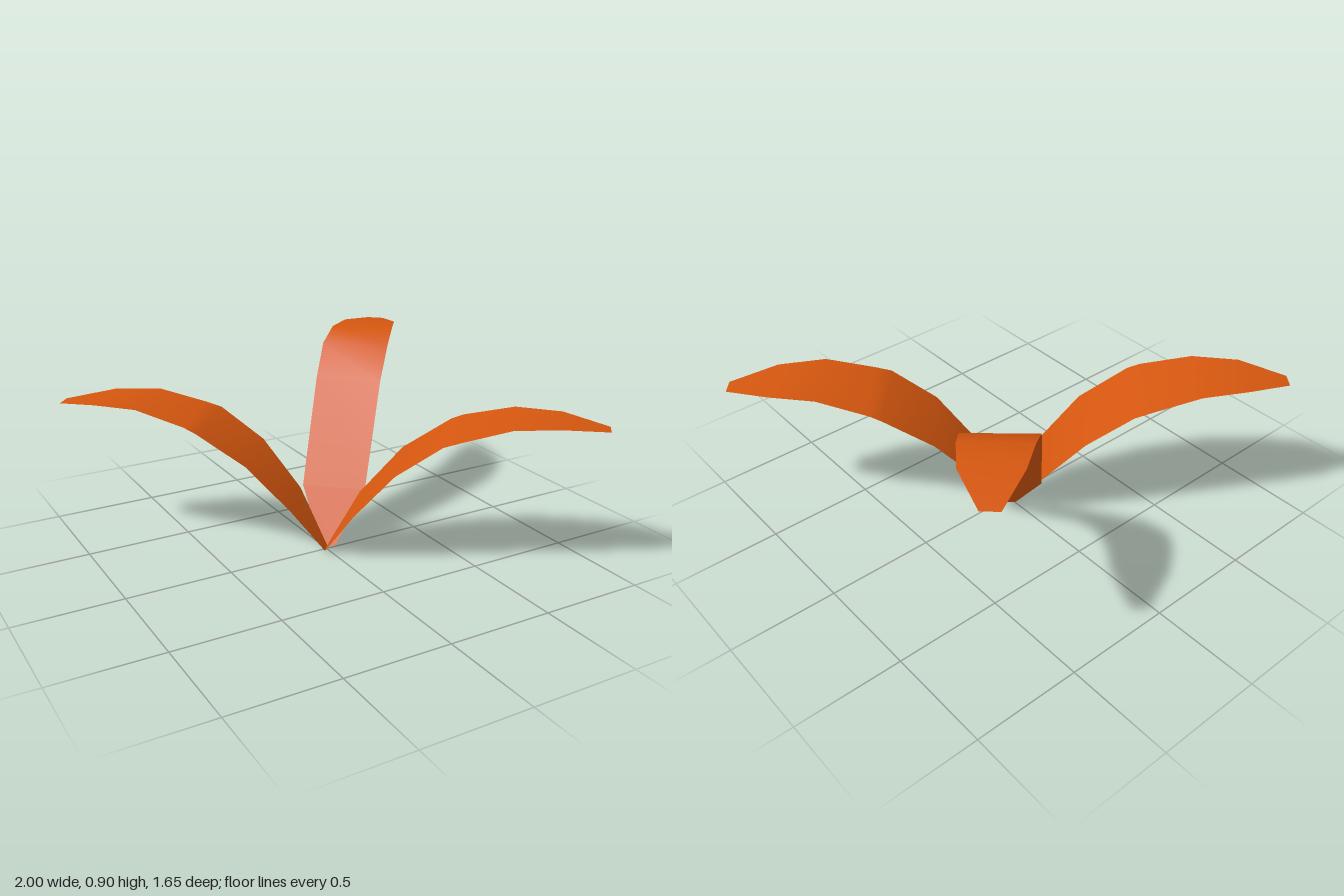
import * as THREE from 'three';

// Each row: height, then x and z of the left edge, x and z of the right edge (seen looking outward)
const LOW_LEAF = [
  [0.00, 0.02, -0.03, -0.02, 0.02],
  [0.24, 0.20, -0.03, 0.02, 0.21],
  [0.465, 0.38, 0.06, 0.14, 0.36],
  [0.615, 0.56, 0.19, 0.295, 0.495],
  [0.64, 0.60, 0.23, 0.36, 0.54],
  [0.70, 0.76, 0.40, 0.54, 0.66],
  [0.70, 0.90, 0.56, 0.73, 0.76],
  [0.67, 1.00, 0.76, 0.95, 0.82],
];
const TALL_LEAF = [
  [0.00, 0.00, -0.05, 0.05, -0.005],
  [0.24, 0.005, -0.24, 0.235, -0.04],
  [0.70, 0.20, -0.45, 0.44, -0.24],
  [0.845, 0.295, -0.55, 0.54, -0.335],
  [0.90, 0.40, -0.635, 0.63, -0.435],
  [0.90, 0.53, -0.73, 0.725, -0.56],
  [0.87, 0.73, -0.825, 0.79, -0.77],
];

// Smooth strip skinned between successive cross-sections
function leafGeometry(rows) {
  const positions = [], index = [];
  rows.forEach(([y, lx, lz, rx, rz], i) => {
    positions.push(lx, y, lz, rx, y, rz);
    if (i > 0) {
      const a = 2 * (i - 1);
      index.push(a, a + 1, a + 2, a + 1, a + 3, a + 2);
    }
  });
  const geometry = new THREE.BufferGeometry();
  geometry.setAttribute('position', new THREE.Float32BufferAttribute(positions, 3));
  geometry.setIndex(index);
  geometry.computeVertexNormals();
  return geometry;
}

export function createModel() {
  const group = new THREE.Group();
  group.name = 'plant';
  const leafOrange = new THREE.MeshStandardMaterial({ color: 0xd4560f, side: THREE.DoubleSide });
  leafOrange.name = 'leafOrange';

  const addLeaf = (name, geometry) => {
    const leaf = new THREE.Mesh(geometry, leafOrange);
    leaf.name = name;
    group.add(leaf);
    return leaf;
  };

  // Two matching low leaves, opposite each other
  const lowLeaf = leafGeometry(LOW_LEAF);
  addLeaf('frontLeaf', lowLeaf);
  const backLeaf = addLeaf('backLeaf', lowLeaf);
  backLeaf.rotation.y = Math.PI;
  backLeaf.position.z = -0.01;

  // Taller leaf between them
  addLeaf('tallLeaf', leafGeometry(TALL_LEAF));
  return group;
}
